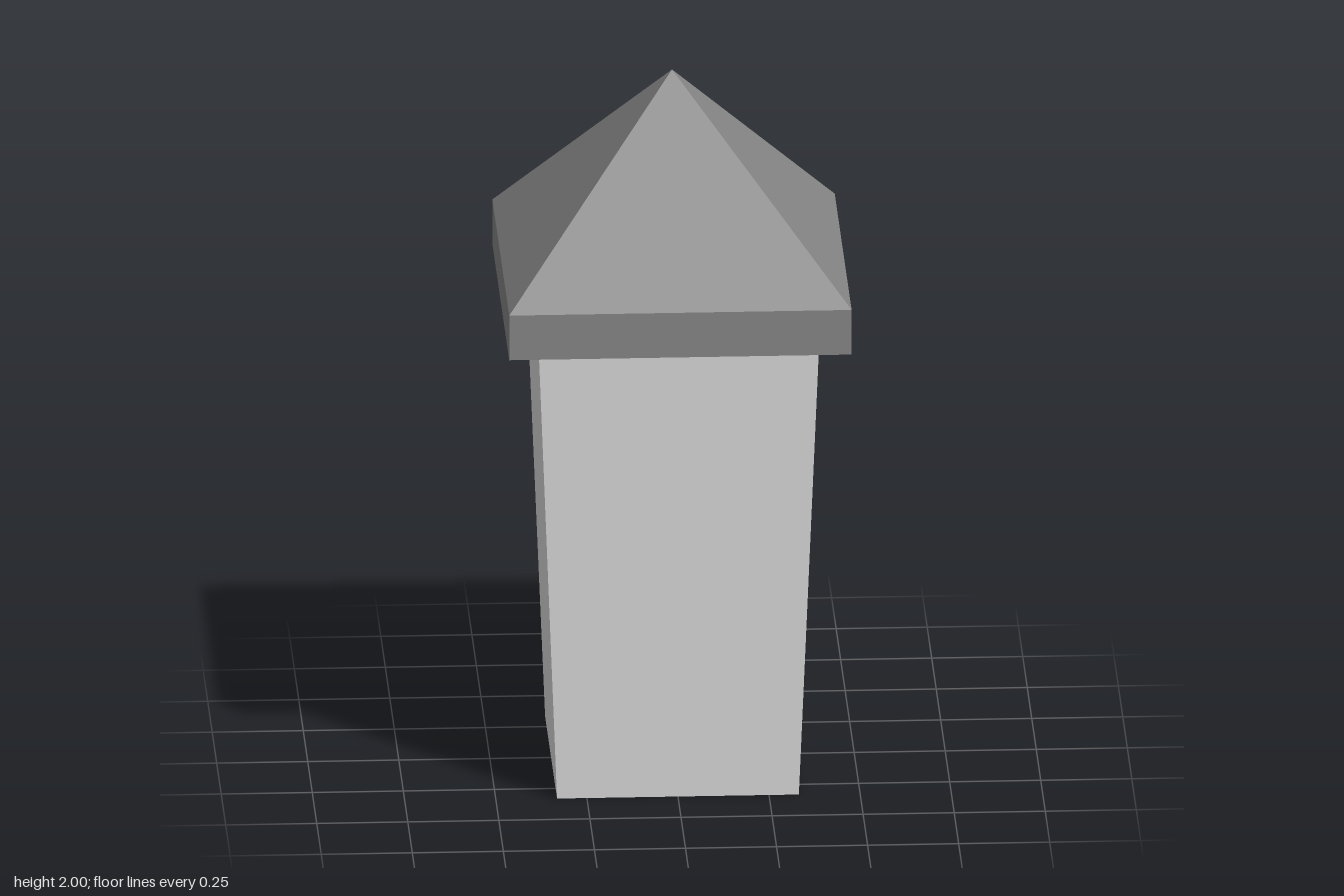
import * as THREE from 'three';

const wallGrey = new THREE.MeshStandardMaterial({ color: 0xdadada, flatShading: true, side: THREE.DoubleSide });
wallGrey.name = 'wallGrey';
const roofGrey = new THREE.MeshStandardMaterial({ color: 0x868686, flatShading: true });
roofGrey.name = 'roofGrey';

// Square frustum from half-widths at its top and bottom
function squareFrustum(name, halfTop, halfBottom, y0, y1, material, open) {
  const geometry = new THREE.CylinderGeometry(
    halfTop * Math.SQRT2, halfBottom * Math.SQRT2, y1 - y0, 4, 1, open);
  geometry.rotateY(Math.PI / 4);
  geometry.translate(0, (y0 + y1) / 2, 0);
  const mesh = new THREE.Mesh(geometry, material);
  mesh.name = name;
  return mesh;
}

export function createModel() {
  const tower = new THREE.Group();
  tower.name = 'tower';

  // Hollow walls, widening upwards and open underneath
  tower.add(squareFrustum('walls', 0.385, 0.332, 0, 1.33, wallGrey, true));

  // Overhanging eaves with a closed underside
  const eaves = new THREE.Mesh(new THREE.BoxGeometry(0.94, 0.13, 0.94), roofGrey);
  eaves.name = 'eaves';
  eaves.position.y = 1.395;
  tower.add(eaves);

  // Pyramid roof
  tower.add(squareFrustum('roof', 0, 0.47, 1.46, 2, roofGrey, true));

  return tower;
}
